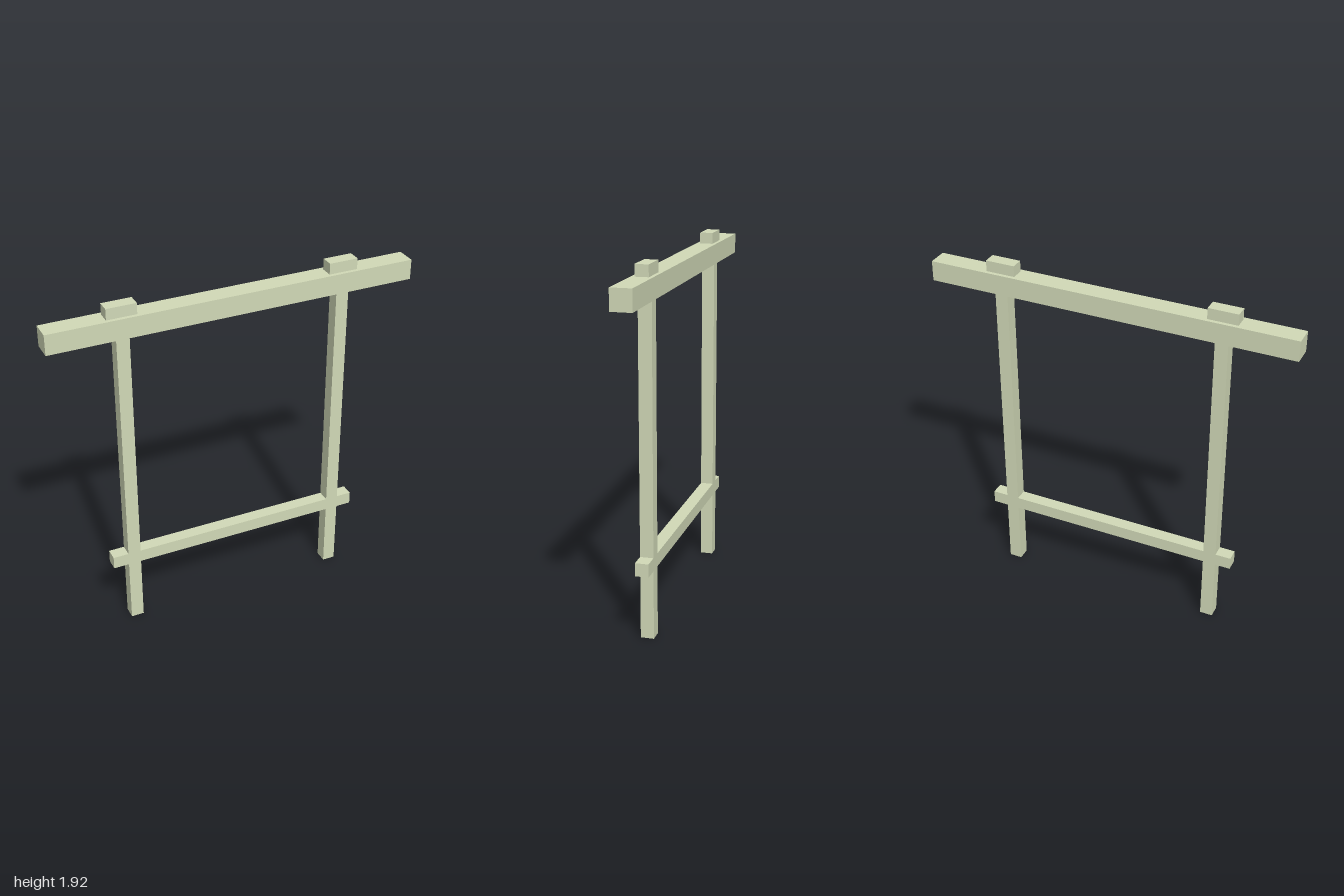
import * as THREE from 'three';

const material = new THREE.MeshStandardMaterial({ color: 0xd2dab8, flatShading: true });

// Axis-aligned timber spanning y0..y1, centred on x and z = 0
function timber(name, x, y0, y1, width, depth) {
  const mesh = new THREE.Mesh(new THREE.BoxGeometry(width, y1 - y0, depth), material);
  mesh.name = name;
  mesh.position.set(x, (y0 + y1) / 2, 0);
  return mesh;
}

export function createModel() {
  const group = new THREE.Group();
  group.name = 'gateFrame';

  // Heavy lintel on top, thin tie rail near the foot
  group.add(timber('topBeam', 0, 1.75, 1.86, 2, 0.11));
  group.add(timber('lowerRail', 0, 0.37, 0.44, 1.45, 0.07));

  // Mirrored posts and the cap blocks above them
  for (const [side, s] of [['left', 1], ['right', -1]]) {
    group.add(timber(side + 'Post', s * 0.605, 0, 1.75, 0.07, 0.07));
    group.add(timber(side + 'CapBlock', s * 0.605, 1.86, 1.92, 0.16, 0.07));
  }
  return group;
}
